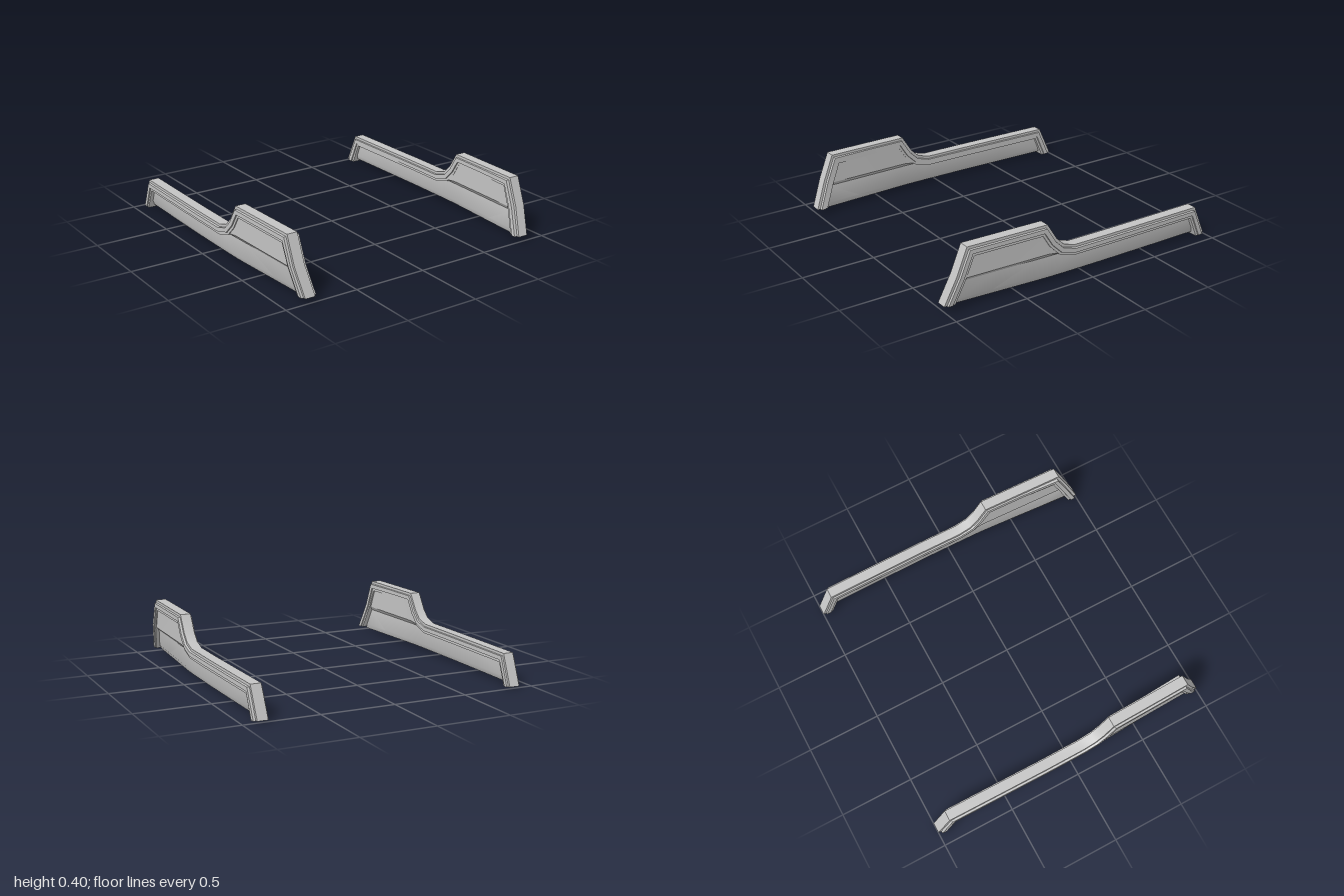
import * as THREE from 'three';
import { toCreasedNormals } from 'three/addons/utils/BufferGeometryUtils.js';

// Rim outline as [z, y], from the front foot over the rail to the rear foot
const PATH = [[1, 0.035], [0.927, 0.22], [0.855, 0.4], [0.57, 0.4], [0.29, 0.4], [0.22, 0.29],
  [0.165, 0.237], [0.08, 0.212], [-0.2, 0.212], [-0.55, 0.212], [-0.91, 0.212], [-1, 0.01]];

// Half of the rim cross-section as [depth from outline, half width]
const RIM = [[0, 0.035], [0.018, 0.035], [0.02, 0.05], [0.048, 0.05], [0.05, 0.043], [0.066, 0.043]];

// Panel rows from top to bottom as [height, half thickness]; thinner going down
const ROWS = [[1, 0.037], [0.2, 0.037], [0.175, 0.018], [0.055, 0.018], [0.02, 0.002]];

// Sideways position of the bowed side piece; its front leans in at the bottom
const BOW = [[-1, 0.872], [-0.9, 0.877], [-0.2, 0.881], [0.28, 0.877], [1, 0.856]];
function centreX(z, y) {
  let i = 0;
  while (i < BOW.length - 2 && z > BOW[i + 1][0]) i++;
  const [a, b] = [BOW[i], BOW[i + 1]];
  const x = THREE.MathUtils.mapLinear(z, a[0], b[0], a[1], b[1]);
  const front = THREE.MathUtils.clamp((z - 0.2) / 0.75, 0, 1);
  return x - 0.13 * Math.max(0, 0.22 - y) * front;
}

// Mitred inward direction at each outline point, with cut feet
function miter(i) {
  if (i === 0) return [-1.077, 0];
  if (i === PATH.length - 1) return [1.08, -0.15];
  const normal = (p, q) => {
    const dz = q[0] - p[0], dy = q[1] - p[1], l = Math.hypot(dz, dy);
    return [-dy / l, dz / l];
  };
  const a = normal(PATH[i - 1], PATH[i]), b = normal(PATH[i], PATH[i + 1]);
  const k = 1 + a[0] * b[0] + a[1] * b[1];
  return [(a[0] + b[0]) / k, (a[1] + b[1]) / k];
}
function inset(i, depth) {
  const m = miter(i);
  return [PATH[i][0] + m[0] * depth, PATH[i][1] + m[1] * depth];
}

// Skin closed rings of [x, y, z] and cap both ends; side = -1 mirrors the result
function loft(rings, side) {
  const n = rings[0].length, last = (rings.length - 1) * n, index = [];
  const tri = (a, b, c) => index.push(...(side > 0 ? [a, b, c] : [a, c, b]));
  for (let i = 0; i < rings.length - 1; i++) {
    for (let j = 0; j < n; j++) {
      const a = i * n + j, b = i * n + (j + 1) % n;
      tri(a, b, a + n);
      tri(b, b + n, a + n);
    }
  }
  for (let j = 0; j < n / 2 - 1; j++) {
    const k = n - 1 - j;
    tri(j, k, k - 1);
    tri(j, k - 1, j + 1);
    tri(last + j, last + k - 1, last + k);
    tri(last + j, last + j + 1, last + k - 1);
  }
  const g = new THREE.BufferGeometry();
  const pos = rings.flat().flatMap(([x, y, z]) => [x * side, y, z]);
  g.setAttribute('position', new THREE.Float32BufferAttribute(pos, 3));
  g.setIndex(index);
  return toCreasedNormals(g, 0.5);
}

// Stepped rim swept along the outline; the inner flange is wider on the front post
function rimGeometry(side) {
  return loft(PATH.map((_, i) => {
    const extra = i < 3 ? 0.005 : -0.004;
    const inner = RIM.map(([d, w]) => [d, -w - (w > 0.035 ? extra : 0)]).reverse();
    return [...RIM, ...inner].map(([d, w]) => {
      const [z, y] = inset(i, d);
      return [centreX(z, y) + w, y, z];
    });
  }), side);
}

// Panel filling the rim, stepped alike on both faces
function panelGeometry(side) {
  const rings = [];
  for (let i = 2; i < PATH.length - 1; i++) {
    const [zTop, yTop] = inset(i, 0.055);
    const zBottom = THREE.MathUtils.mapLinear(zTop, -0.873, 0.818, -0.93, 0.945);
    const point = ([h, w], face) => {
      const y = Math.min(h, yTop);
      const z = THREE.MathUtils.mapLinear(y, 0.02, yTop, zBottom, zTop);
      return [centreX(z, y) + w * face, y, z];
    };
    rings.push([...ROWS.map((r) => point(r, 1)), ...ROWS.map((r) => point(r, -1)).reverse()]);
  }
  return loft(rings, side);
}

export function createModel() {
  const model = new THREE.Group();
  model.name = 'sidePanels';
  const grey = new THREE.MeshStandardMaterial({ color: 0xc4c4c4 });
  grey.name = 'grey';
  for (const side of [1, -1]) {
    const piece = new THREE.Group();
    piece.name = side > 0 ? 'leftSide' : 'rightSide';
    const rim = new THREE.Mesh(rimGeometry(side), grey);
    rim.name = 'rim';
    const panel = new THREE.Mesh(panelGeometry(side), grey);
    panel.name = 'panel';
    piece.add(rim, panel);
    model.add(piece);
  }
  return model;
}
